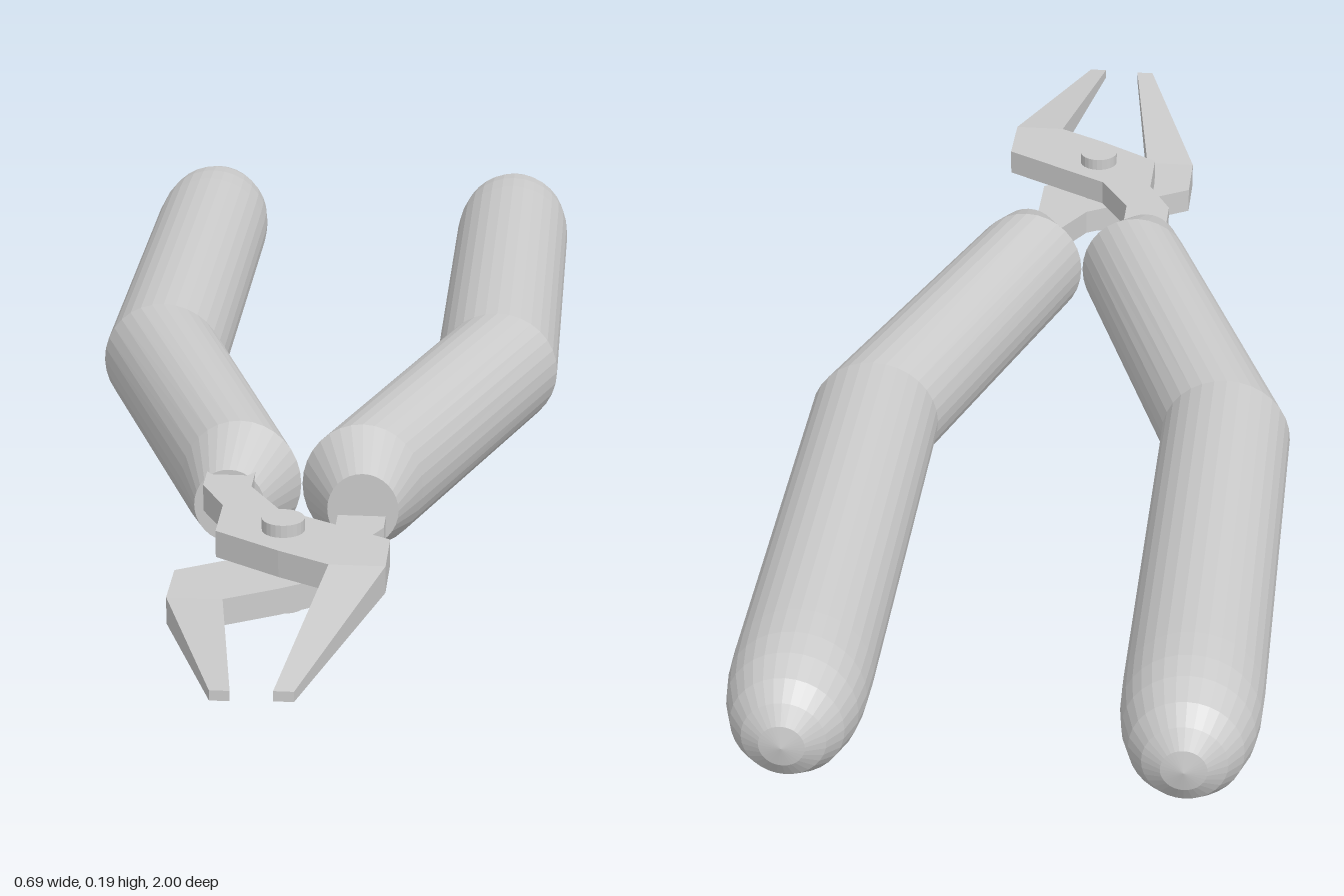
import * as THREE from 'three';

const MID = 0.0935; // height of the middle plane
const material = new THREE.MeshStandardMaterial({ color: 0xcccccc, flatShading: true });
const lerp = THREE.MathUtils.lerp;
const ramp = (v, a, b) => THREE.MathUtils.clamp((v - a) / (b - a), 0, 1);

function addMesh(parent, name, geometry) {
  const mesh = new THREE.Mesh(geometry, material);
  mesh.name = name;
  parent.add(mesh);
  return mesh;
}

// Flat plate from an outline of [x, z] points, between two heights
function plate(outline, y0, y1) {
  const shape = new THREE.Shape(outline.map(([x, z]) => new THREE.Vector2(x, -z)));
  const geometry = new THREE.ExtrudeGeometry(shape, { depth: y1 - y0, bevelEnabled: false });
  return geometry.rotateX(-Math.PI / 2).translate(0, y0, 0);
}

// Round grip along z, bent inward towards the front
function gripGeometry(side) {
  const profile = [
    [0, -1], [0.03, -0.994], [0.055, -0.978], [0.074, -0.95], [0.086, -0.91],
    [0.091, -0.87], [0.0925, -0.82], [0.0925, -0.18], [0.0925, 0.3], [0.054, 0.39], [0, 0.39],
  ].map(([r, z]) => new THREE.Vector2(r, z));
  const geometry = new THREE.LatheGeometry(profile, 32).rotateX(Math.PI / 2);
  const p = geometry.attributes.position;
  for (let i = 0; i < p.count; i++) {
    const z = p.getZ(i);
    const bend = ramp(z, -0.18, 0.3);
    const centre = z > 0.3 ? lerp(0.086, 0.093, ramp(z, 0.3, 0.39)) : lerp(0.255, 0.086, bend);
    p.setX(i, p.getX(i) * lerp(1, 0.92, bend) + side * centre);
  }
  geometry.computeVertexNormals();
  return geometry;
}

// One half of the tool: neck and pivot plate on one side, jaw on the other
function makeHalf(name) {
  const half = new THREE.Group();
  half.name = name;
  const low = 0.0085, high = 0.0465;

  addMesh(half, 'pivotPlate', plate([
    [0.07, 0.69], [0.145, 0.69], [0.145, 0.6], [-0.013, 0.507], [-0.058, 0.43], [-0.058, 0.34],
    [-0.125, 0.34], [-0.125, 0.43], [-0.09, 0.5], [-0.09, 0.59], [0, 0.65],
  ], low, high));

  // Jaw thins towards the tip and meets the middle plane
  const jaw = plate([[0.07, 0.69], [0.027, 1], [0.053, 1], [0.145, 0.69]], low, high);
  const p = jaw.attributes.position;
  for (let i = 0; i < p.count; i++) {
    const top = p.getY(i) > (low + high) / 2;
    const t = ramp(p.getZ(i), 0.69, 1);
    p.setY(i, top ? lerp(high, 0.008, t) : lerp(low, -0.006, t));
  }
  jaw.computeVertexNormals();
  addMesh(half, 'jaw', jaw);
  half.position.y = MID;
  return half;
}

export function createModel() {
  const model = new THREE.Group();
  model.name = 'pliers';

  // Grips
  for (const [name, side] of [['leftGrip', 1], ['rightGrip', -1]]) {
    addMesh(model, name, gripGeometry(side)).position.y = MID;
  }

  // Crossing halves, the lower one turned over
  const upper = makeHalf('upperHalf');
  const lower = makeHalf('lowerHalf');
  lower.rotation.z = Math.PI;
  model.add(upper, lower);

  // Pivot pin
  addMesh(model, 'pivotPin', new THREE.CylinderGeometry(0.029, 0.029, 0.128, 24))
    .position.set(0, MID, 0.578);

  return model;
}
